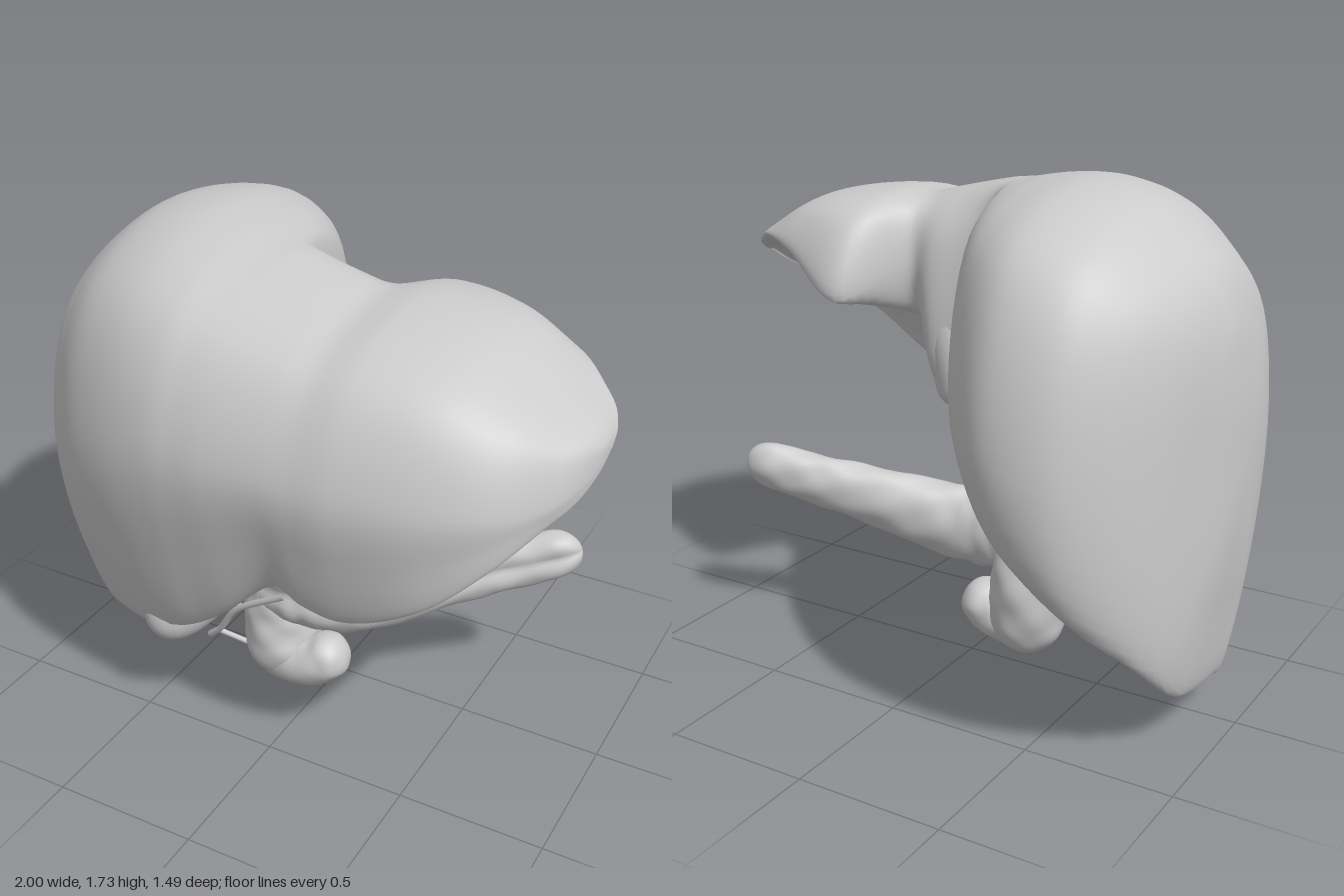
import * as THREE from 'three';

const V3 = (x, y, z) => new THREE.Vector3(x, y, z);
const mix = THREE.MathUtils.lerp;
const material = new THREE.MeshStandardMaterial({ color: 0xcccccc });

// Smooth closed-loop skin over a list of rings (arrays of Vector3)
function skin(rings) {
  const n = rings[0].length, index = [];
  for (let i = 0; i < rings.length - 1; i++)
    for (let j = 0; j < n; j++) {
      const k = (j + 1) % n, a = i * n, b = a + n;
      index.push(a + j, a + k, b + j, a + k, b + k, b + j);
    }
  const geo = new THREE.BufferGeometry().setFromPoints(rings.flat());
  geo.setIndex(index);
  geo.computeVertexNormals();
  return geo;
}

function add(group, name, geo) {
  const mesh = new THREE.Mesh(geo, material);
  mesh.name = name;
  group.add(mesh);
}

// Liver cross-section at x from its back point, back rim height, top height,
// front depth, lower edge and deepest point of the underside
function section([x, backZ, backY, rimY, topY, frontZ, edgeZ, edgeY, underZ, underY]) {
  const topZ = .08 + .2 * x, frontY = Math.min(1.22, 1.32 + .35 * x);
  const round = (z, y, k) => [mix(topZ, z, k), mix(y, topY, k)];
  const solid = 1 - THREE.MathUtils.smoothstep(x, .1, .36); // the left lobe is hollow
  return [
    [backZ, backY], round(backZ, backY, .76), [topZ, topY], round(frontZ, frontY, .73), [frontZ, frontY],
    [mix(edgeZ, frontZ, .75), mix(edgeY, frontY, .45)], [edgeZ, edgeY],
    [mix(edgeZ, underZ, .25), mix(edgeY, underY, .3)], [underZ, underY],
    [mix(backZ, underZ, .5), mix(rimY, underY, mix(.1, .75, solid))],
    [mix(backZ, underZ, .13), rimY],
  ].map(([z, y]) => V3(x, y, z));
}

// Copy of a section scaled about a point, to round off the ends
const shrink = (ring, x, y, z, s) => ring.map(p => V3(x, mix(y, p.y, s), mix(z, p.z, s)));

function liverGeometry() {
  const s = [
    [-.96, -.26, .92, .56, 1.36, .23, .08, .42, -.08, .45],
    [-.9, -.46, .87, .36, 1.5, .38, .08, .13, -.1, .15],
    [-.8, -.62, .92, .44, 1.6, .48, .24, .2, -.08, .38],
    [-.66, -.725, .97, .57, 1.69, .59, .37, .29, -.04, .6],
    [-.46, -.73, 1.03, .73, 1.73, .68, .5, .38, .04, .73],
    [-.28, -.58, 1.09, .87, 1.715, .72, .56, .46, .12, .81],
    [-.16, -.38, 1.14, .93, 1.69, .73, .58, .54, .2, .87],
    [-.07, -.06, 1.2, .95, 1.67, .735, .6, .62, .3, .89],
    [.12, -.07, 1.2, .97, 1.63, .735, .62, .785, .33, .91],
    [.22, -.05, 1.38, 1.22, 1.61, .735, .64, .76, .4, .95],
    [.36, -.27, 1.29, 1.27, 1.62, .735, .64, .745, .4, 1.08],
    [.62, -.18, 1.42, 1.39, 1.58, .69, .65, .88, .41, 1.21],
    [.8, -.07, 1.44, 1.41, 1.485, .61, .59, 1.04, .37, 1.26],
    [.91, .03, 1.4, 1.37, 1.41, .49, .47, 1.15, .31, 1.28],
  ].map(section);
  const first = s[0], last = s[s.length - 1];
  s.unshift(...[[-1, 0], [-.996, .3], [-.985, .62]].map(([x, k]) => shrink(first, x, .97, 0, k)));
  s.push(...[[.965, .66], [.993, .3], [1, 0]].map(([x, k]) => shrink(last, x, 1.31, .21, k)));
  // Smooth along x first, then around each section
  const rails = s[0].map((_, j) => new THREE.CatmullRomCurve3(s.map(r => r[j])));
  const rings = [], U = 152, W = 88;
  for (let i = 0; i <= U; i++) {
    const loop = new THREE.CatmullRomCurve3(rails.map(c => c.getPoint(i / U)), true);
    const ring = [];
    for (let j = 0; j < W; j++) ring.push(loop.getPoint(j / W));
    rings.push(ring);
  }
  return skin(rings);
}

// Round-ended soft body along a path of [x, y, z, radius]
function softBody(path, { depth = 1, bumps = 0, groove = 0 } = {}) {
  const curve = new THREE.CatmullRomCurve3(path.map(p => V3(p[0], p[1], p[2])));
  const radii = new THREE.SplineCurve(path.map((p, i) => new THREE.Vector2(i, p[3])));
  const rings = [], U = 90, W = 40, len = curve.getLength();
  for (let i = 0; i <= U; i++) {
    const t = (1 - Math.cos(Math.PI * i / U)) / 2; // denser towards the ends
    const c = curve.getPoint(t), tan = curve.getTangent(t);
    const n = V3(0, 0, 1).cross(tan).normalize(), b = tan.clone().cross(n);
    const r0 = radii.getPoint(t).y;
    const e = Math.min(1, Math.min(t, 1 - t) * len / r0);
    const r = r0 * Math.sqrt(Math.max(0, 1 - (1 - e) ** 2));
    const ring = [];
    for (let j = 0; j < W; j++) {
      const a = j / W * Math.PI * 2, d = t * len;
      const lump = Math.sin(d * 27 + 2 * a) * Math.sin(3 * a + d * 11) + .5 * Math.sin(d * 47 - 4 * a) * Math.sin(d * 9 + a);
      const k = r * (1 + bumps * lump - groove * Math.exp(-(((a - Math.PI / 2) / .3) ** 2)));
      ring.push(c.clone().addScaledVector(n, k * Math.cos(a)).addScaledVector(b, k * depth * Math.sin(a)));
    }
    rings.push(ring);
  }
  return skin(rings);
}

export function createModel() {
  const model = new THREE.Group();
  model.name = 'liverAndPancreas';

  add(model, 'liver', liverGeometry());
  add(model, 'caudateLobe', softBody([[.1, 1.42, .03, .05], [.08, 1.15, .03, .09], [.05, .89, .07, .1]], { depth: 1.1 }));
  add(model, 'gallbladder', softBody([[-.41, .37, .55, .09], [-.35, .5, .4, .135], [-.22, .67, .25, .085], [-.12, .8, .17, .03]]));

  // Pancreas: grooved body and tail, head, hooked lower lobe
  const pancreas = new THREE.Group();
  pancreas.name = 'pancreas';
  add(pancreas, 'pancreasBody', softBody(
    [[-.27, .42, .13, .1], [-.08, .43, .14, .15], [.12, .44, .1, .14], [.5, .555, -.085, .1], [.81, .65, -.225, .085]],
    { depth: .72, bumps: .04, groove: .28 }));
  add(pancreas, 'pancreasHead', softBody(
    [[-.14, .56, .11, .08], [-.19, .3, .08, .135], [-.16, .01, .11, .13]], { depth: 1.05, bumps: .03 }));
  add(pancreas, 'pancreasHook', softBody(
    [[-.28, .1, .11, .09], [-.05, .11, .12, .095], [.08, .19, .11, .08]], { depth: 1.05, bumps: .03 }));
  model.add(pancreas);

  // Ducts and vessels
  const ducts = new THREE.Group();
  ducts.name = 'ducts';
  const duct = (name, r, ...pts) => add(ducts, name,
    new THREE.TubeGeometry(new THREE.CatmullRomCurve3(pts.map(p => V3(...p))), 32, r, 10));
  duct('mainDuct', .012, [-.45, .11, .17], [-.39, .17, .19], [-.3, .3, .22], [-.08, .45, .25]);
  duct('lowerBranch', .01, [-.4, .15, .18], [-.27, .11, .15]);
  duct('upperBranch', .01, [-.4, .345, .2], [-.27, .32, .22]);
  duct('bileDuct', .012, [-.12, .42, .14], [-.16, .62, .16], [-.1, .9, .16]);
  duct('hepaticArtery', .01, [-.03, .46, .16], [-.03, .82, .16]);
  duct('archedVessel', .014, [-.02, .5, .12], [-.07, .7, .1], [-.13, .5, .12]);
  for (const x of [-.12, -.07, -.02]) duct('portalStub', .018, [x, .87, .15], [x, .95, .2]);
  model.add(ducts);

  return model;
}
